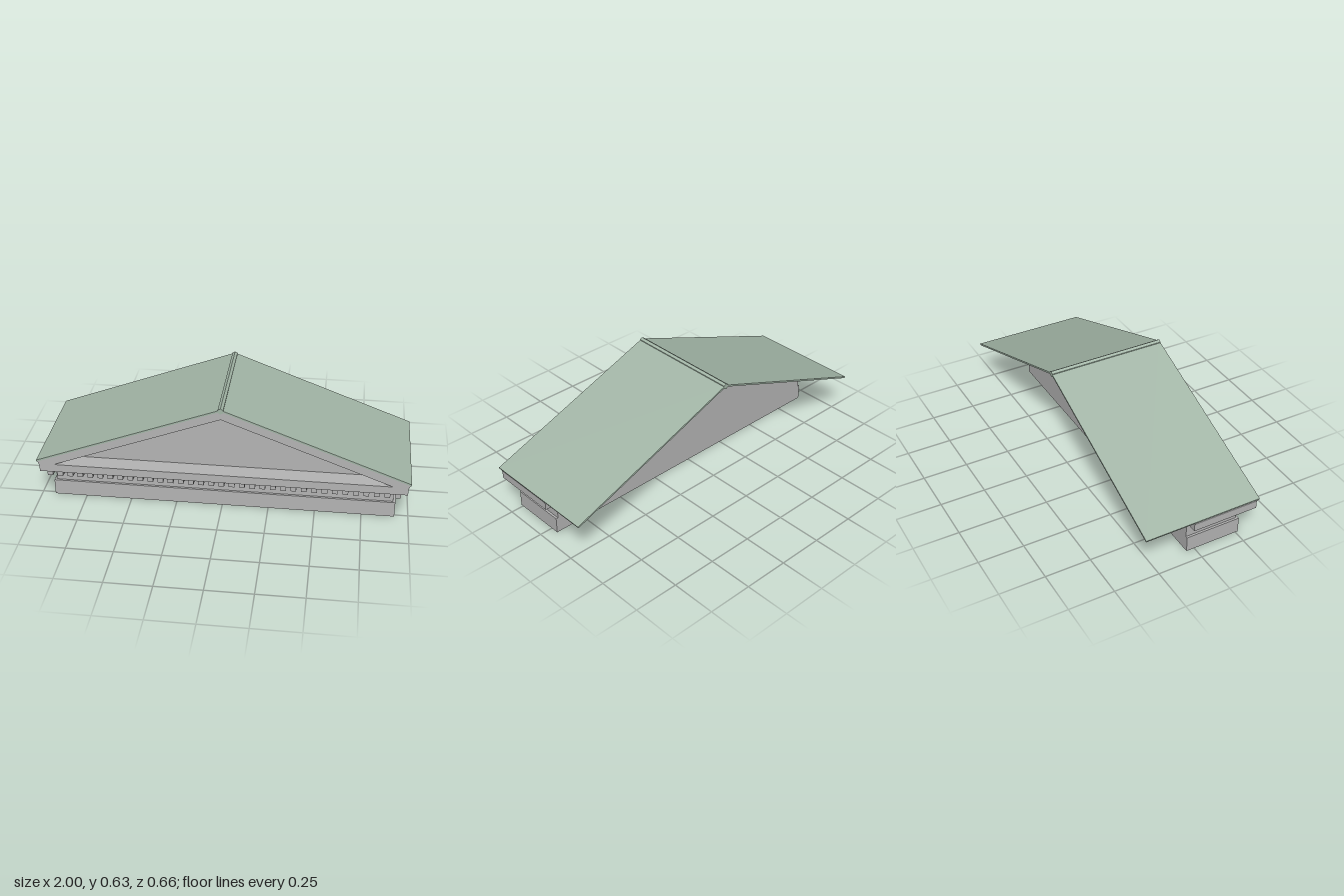
import * as THREE from 'three';

const BACK = -0.045; // rear plane shared by all masonry

export function createModel() {
  const model = new THREE.Group();
  model.name = 'pediment';
  const stone = new THREE.MeshStandardMaterial({ name: 'grey stone', color: 0xb4b4b4 });
  const copper = new THREE.MeshStandardMaterial({ name: 'pale green roof', color: 0xa3b6a7 });

  const add = (name, geometry, material, parent = model) => {
    const mesh = new THREE.Mesh(geometry, material);
    mesh.name = name;
    parent.add(mesh);
    return mesh;
  };
  // Box given by half width, y range and z range
  const course = (name, half, y0, y1, z0, z1) =>
    add(name, new THREE.BoxGeometry(half * 2, y1 - y0, z1 - z0), stone)
      .position.set(0, (y0 + y1) / 2, (z0 + z1) / 2);
  const outline = (points) => new THREE.Shape(points.map(([x, y]) => new THREE.Vector2(x, y)));
  // Straight extrusion of an outline between two depths
  const prism = (name, shape, z0, z1, material) =>
    add(name, new THREE.ExtrudeGeometry(shape, { depth: z1 - z0, bevelEnabled: false }), material)
      .position.z = z0;

  // Entablature
  course('architrave', 0.927, 0, 0.089, BACK, 0.265);
  course('frieze', 0.915, 0.089, 0.18, BACK, 0.253);

  // Gable wall and raking cornice share one outline with flared eaves
  const gable = [[-0.985, 0.18], [0.985, 0.18], [0.985, 0.219], [0.996, 0.242], [0, 0.617], [-0.996, 0.242], [-0.985, 0.219]];
  prism('gableWall', outline(gable), BACK, 0.225, stone);
  const frame = outline(gable);
  frame.holes.push(outline([[-0.905, 0.226], [0, 0.567], [0.905, 0.226]]));
  prism('cornice', frame, 0.225, 0.323, stone);

  // Dentil row under the cornice
  const dentils = new THREE.Group();
  dentils.name = 'dentils';
  model.add(dentils);
  const count = 35;
  const block = new THREE.BoxGeometry(0.03, 0.037, 0.034);
  for (let i = 0; i < count; i++) {
    const x = -0.935 + (1.87 * i) / (count - 1);
    add('dentil', block, stone, dentils).position.set(x, 0.1615, 0.285);
  }

  // Roof sheets
  const sheet = outline([[0.997, 0.241], [1, 0.25], [0, 0.627], [-1, 0.25], [-0.997, 0.241], [0, 0.617]]);
  prism('roof', sheet, -0.328, 0.328, copper);

  // Six-sided ridge roll with a corner upwards
  const roll = new THREE.CylinderGeometry(0.0165, 0.0165, 0.656, 6).toNonIndexed();
  roll.rotateX(Math.PI / 2);
  roll.computeVertexNormals();
  add('ridgeRoll', roll, copper).position.y = 0.618;

  return model;
}
